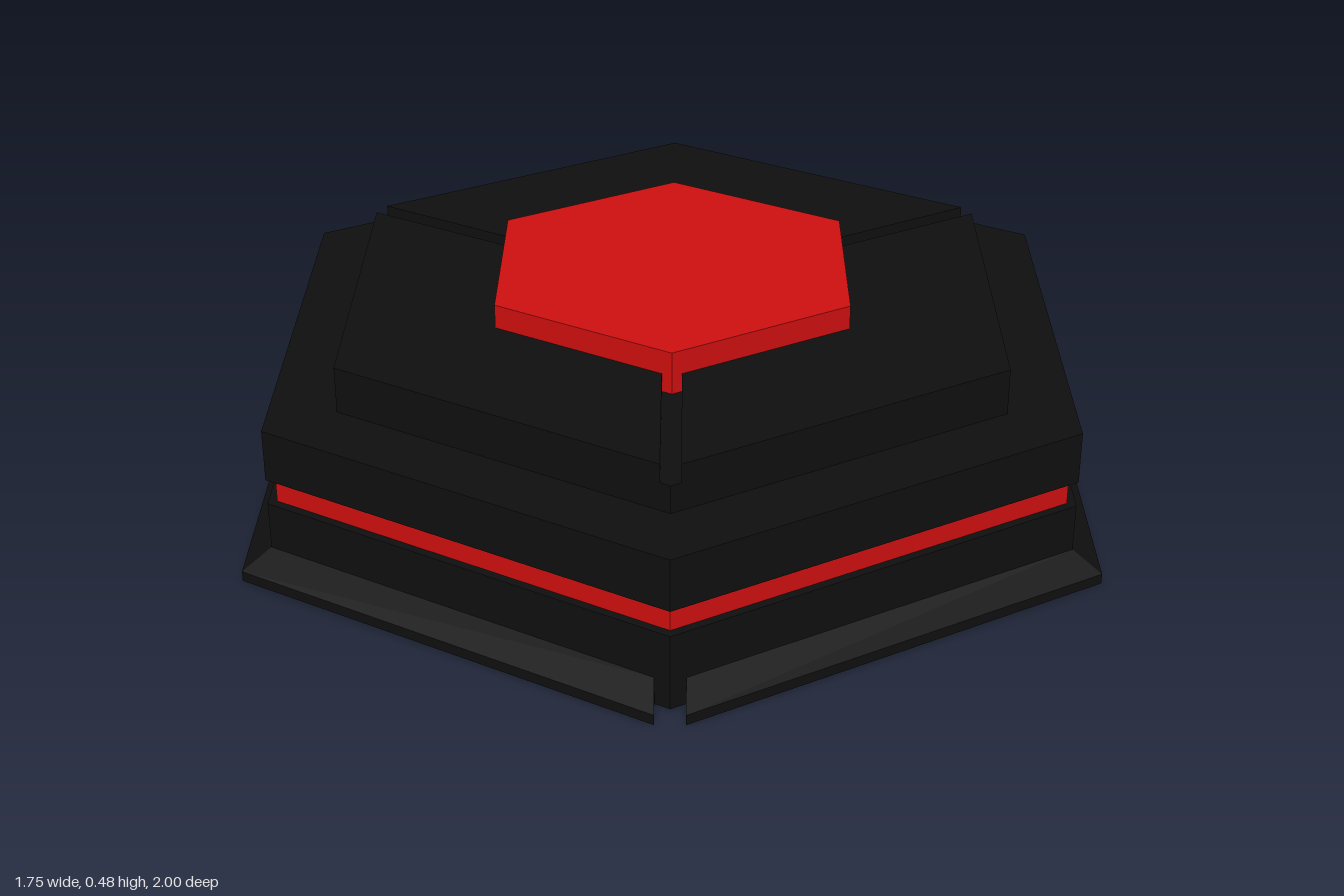
import * as THREE from 'three';

const COS30 = Math.cos(Math.PI / 6);
const black = new THREE.MeshStandardMaterial({ color: 0x0f0f0f, flatShading: true });
const red = new THREE.MeshStandardMaterial({ color: 0xcc0f0f, flatShading: true });

// Solid hexagonal slab with a corner towards +z; size is centre to flat side
function hexSlab(name, apothem, y0, y1, material) {
  const r = apothem / COS30;
  const mesh = new THREE.Mesh(new THREE.CylinderGeometry(r, r, y1 - y0, 6), material);
  mesh.position.y = (y0 + y1) / 2;
  mesh.name = name;
  return mesh;
}

// Plate covering two hexagon sides. A convex [apothem, y] profile is swept round
// one corner; both ends stop short of the next corner by half the groove width.
function plateGeometry(profile, halfGap) {
  const at = (angle, along, across, y) => [
    along * Math.sin(angle) + across * Math.cos(angle), y,
    along * Math.cos(angle) - across * Math.sin(angle)];
  const third = Math.PI / 3;
  const cut = halfGap / Math.sqrt(3);
  const rings = [
    profile.map(([a, y]) => at(0, a / COS30 - cut, halfGap, y)),
    profile.map(([a, y]) => at(third, a / COS30, 0, y)),
    profile.map(([a, y]) => at(2 * third, a / COS30 - cut, -halfGap, y)),
  ];
  const pos = [];
  const tri = (a, b, c) => pos.push(...a, ...b, ...c);
  const n = profile.length;
  for (let s = 0; s < 2; s++) {
    for (let j = 0; j < n; j++) {
      const k = (j + 1) % n;
      tri(rings[s][j], rings[s + 1][j], rings[s + 1][k]);
      tri(rings[s][j], rings[s + 1][k], rings[s][k]);
    }
  }
  // End walls facing the grooves
  for (let j = 1; j < n - 1; j++) {
    tri(rings[0][0], rings[0][j], rings[0][j + 1]);
    tri(rings[2][0], rings[2][j + 1], rings[2][j]);
  }
  const geometry = new THREE.BufferGeometry();
  geometry.setAttribute('position', new THREE.Float32BufferAttribute(pos, 3));
  geometry.computeVertexNormals();
  return geometry;
}

// Three plates separated by grooves at alternate corners
function plateRing(name, profile, halfGap) {
  const group = new THREE.Group();
  group.name = name;
  const geometry = plateGeometry(profile, halfGap);
  for (let i = 0; i < 3; i++) {
    const plate = new THREE.Mesh(geometry, black);
    plate.rotation.y = i * Math.PI * 2 / 3;
    plate.name = name + 'Plate';
    group.add(plate);
  }
  return group;
}

export function createModel() {
  const model = new THREE.Group();
  model.name = 'hexagonalPedestal';
  const body = new THREE.Group();
  body.name = 'body';
  body.position.z = 0.008;
  model.add(body);

  body.add(
    hexSlab('lowerBody', 0.815, 0, 0.163, black),
    hexSlab('lightBand', 0.797, 0.163, 0.218, red),
    hexSlab('upperBody', 0.815, 0.218, 0.33, black),
    hexSlab('topTierFloor', 0.675, 0.33, 0.39, black),
    hexSlab('topCap', 0.365, 0.39, 0.482, red),
    // Sloping foot, cut right through at three corners
    plateRing('skirt', [[0.8, 0], [0.873, 0], [0.873, 0.022], [0.815, 0.06], [0.8, 0.06]], 0.03),
    // Raised top plates with grooves running out from the cap
    plateRing('topTier', [[0.34, 0.39], [0.675, 0.39], [0.675, 0.43], [0.34, 0.43]], 0.02),
  );
  return model;
}
